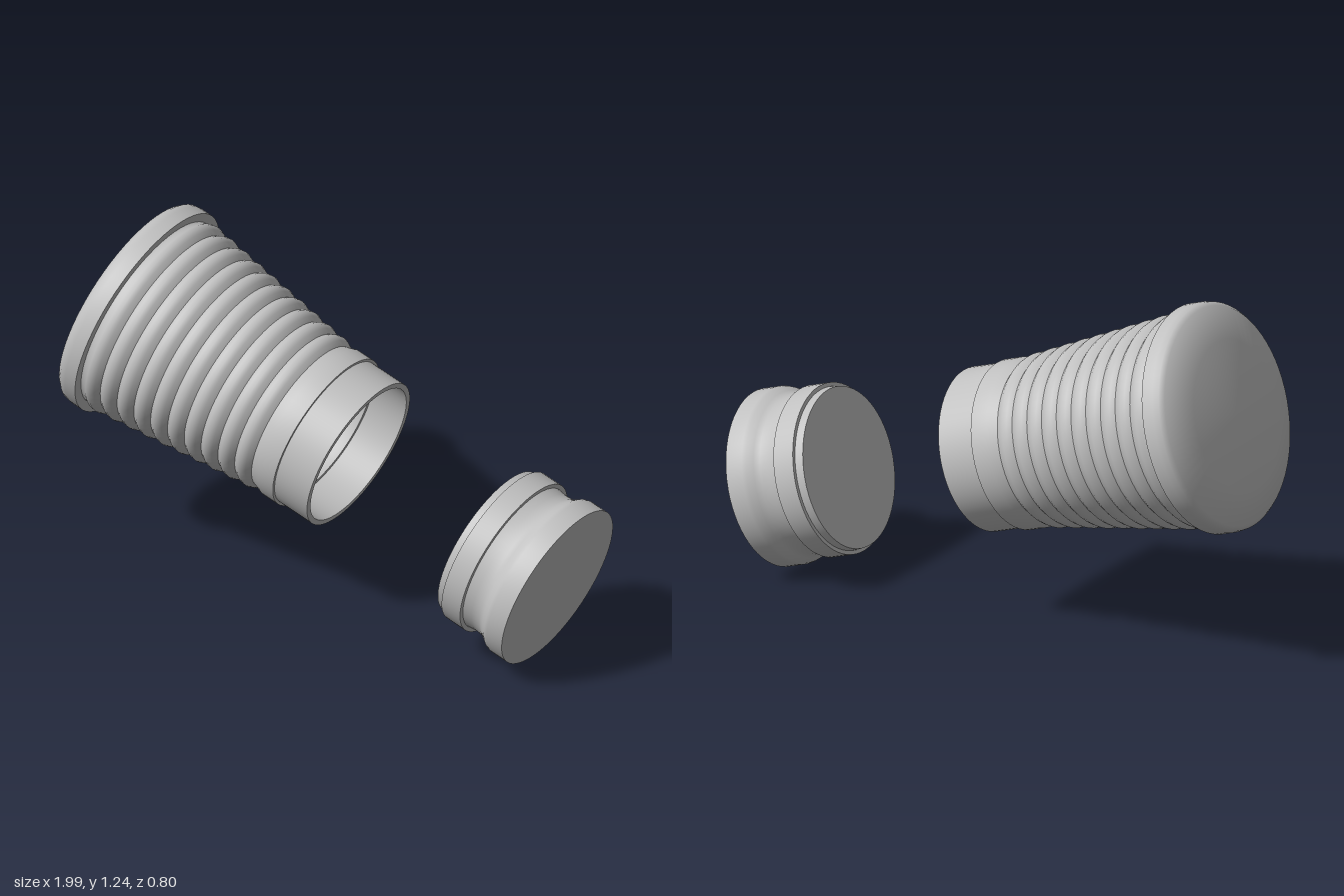
import * as THREE from 'three';
import { toCreasedNormals } from 'three/addons/utils/BufferGeometryUtils.js';

const TILT = -THREE.MathUtils.degToRad(108);
const RIBS = 10, RIB_START = -0.91, RIB_END = -0.243;

// Bellows profile: a row of small arcs on a tapering wall, as [radius, position along the axis]
function bellows(offset) {
  const pts = [];
  const steps = 4;
  for (let i = 0; i <= RIBS * steps; i++) {
    const t = i / (RIBS * steps);
    const bulge = 0.016 * Math.sin(Math.PI * ((i % steps) / steps));
    pts.push([
      THREE.MathUtils.lerp(0.367, 0.284, t) + bulge + offset,
      THREE.MathUtils.lerp(RIB_START, RIB_END, t),
    ]);
  }
  return pts;
}

function turned(name, profile, material) {
  const lathe = new THREE.LatheGeometry(profile.map(([r, s]) => new THREE.Vector2(r, s)), 64);
  const mesh = new THREE.Mesh(toCreasedNormals(lathe, THREE.MathUtils.degToRad(42)), material);
  mesh.name = name;
  return mesh;
}

export function createModel() {
  const model = new THREE.Group();
  model.name = 'ribbedContainer';
  const grey = new THREE.MeshStandardMaterial({ color: 0xc0c0c0, side: THREE.DoubleSide });
  grey.name = 'light grey';

  // Everything shares one tilted axis; 0 is the open mouth
  const axis = new THREE.Group();
  axis.name = 'tiltedAxis';
  axis.position.set(0.073, 0.57, 0);
  axis.rotation.z = TILT;
  model.add(axis);

  // Closed end with a bevelled rim
  axis.add(turned('baseRim', [
    [0, -1.042], [0.262, -1.042], [0.382, -1.004], [0.396, -0.988],
    [0.4, -0.965], [0.4, -0.921], [0.366, -0.921],
  ], grey));

  // Ribbed outer wall
  axis.add(turned('bellowsWall', [[0.367, -0.921], ...bellows(0)], grey));

  // Collar and mouth
  axis.add(turned('neck', [
    [0.284, -0.243], [0.296, -0.205], [0.296, -0.141], [0.286, -0.141],
    [0.286, 0], [0.266, 0], [0.266, -0.141], [0.252, -0.141], [0.252, -0.165], [0.268, -0.243],
  ], grey));

  // Hollow inside, running from the neck back to the floor
  axis.add(turned('innerWall', [
    ...bellows(-0.018).reverse(), [0.349, -1.0], [0, -1.0],
  ], grey));

  // Separate stopper in line with the mouth
  axis.add(turned('stopper', [
    [0, 0.566], [0.281, 0.566], [0.284, 0.596], [0.298, 0.596], [0.298, 0.676],
    [0.282, 0.676], [0.278, 0.71], [0.28, 0.745], [0.29, 0.765],
    [0.305, 0.785], [0.309, 0.8], [0.309, 0.866], [0, 0.866],
  ], grey));

  return model;
}
